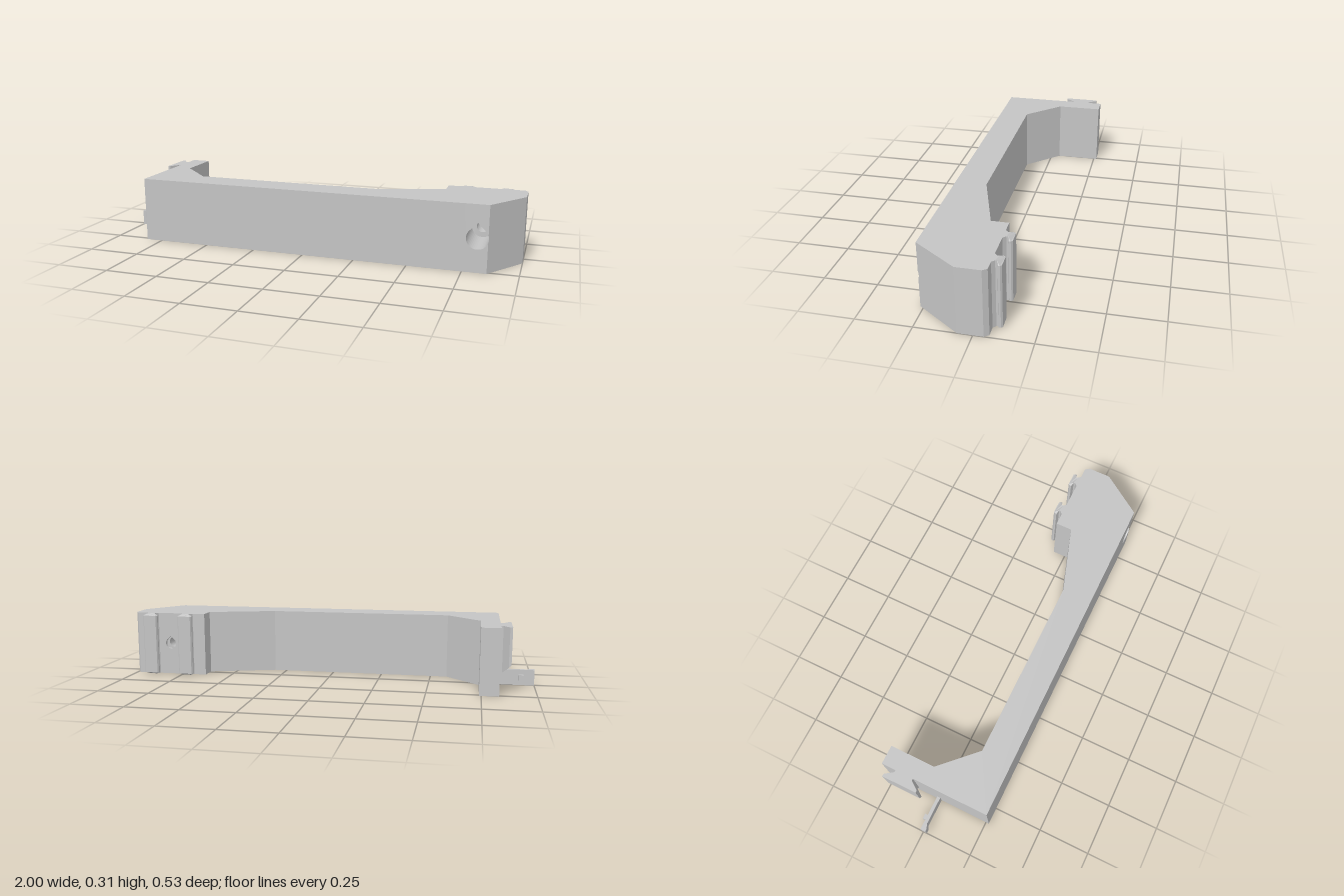
import * as THREE from 'three';

const H = 0.312;                 // body height
const HOLE = [0.813, 0.157];     // bolt hole centre in x, y

const toShape = (pts) => new THREE.Shape(pts.map(([x, y]) => new THREE.Vector2(x, y)));

// Prism from a plan outline of [x, z] points, rising from y0 to y1
function planPrism(pts, y0, y1) {
  const g = new THREE.ExtrudeGeometry(toShape(pts.map(([x, z]) => [x, -z])), { depth: y1 - y0, bevelEnabled: false });
  return g.rotateX(-Math.PI / 2).translate(0, y0, 0);
}

// Prism from a front outline of [x, y] points, running from z0 to z1
function depthPrism(pts, z0, z1, hole) {
  const s = toShape(pts);
  if (hole) s.holes.push(new THREE.Path(hole.map(([x, y]) => new THREE.Vector2(x, y))));
  return new THREE.ExtrudeGeometry(s, { depth: z1 - z0, bevelEnabled: false }).translate(0, 0, z0);
}

// Move every vertex by a rule and refresh the flat normals
function reshape(g, rule) {
  const p = g.attributes.position, v = new THREE.Vector3();
  for (let i = 0; i < p.count; i++) {
    rule(v.fromBufferAttribute(p, i));
    p.setXYZ(i, v.x, v.y, v.z);
  }
  g.computeVertexNormals();
  return g;
}

// Points on a circle round the bolt hole, angles in degrees
function arc(r, from, to, n) {
  return Array.from({ length: n + 1 }, (_, i) => {
    const a = THREE.MathUtils.degToRad(from + (to - from) * i / n);
    return [HOLE[0] + r * Math.cos(a), HOLE[1] + r * Math.sin(a)];
  });
}
const peak = (r) => [HOLE[0], HOLE[1] + r * Math.SQRT2];

export function createModel() {
  const model = new THREE.Group();
  const grey = new THREE.MeshStandardMaterial({ color: 0xc4c4c4 });
  const add = (name, geometry, parent = model) => {
    const m = new THREE.Mesh(geometry, grey);
    m.name = name;
    parent.add(m);
    return m;
  };

  // Main arm with the upright leg at one end
  add('arm', planPrism([
    [-0.83, -0.265], [-0.74, -0.265], [-0.74, -0.045], [-0.58, 0.118], [0.31, 0.118],
    [0.63, 0.015], [0.63, -0.065], [0.75, -0.065], [0.75, 0.265], [-0.83, 0.265],
  ], 0, H));

  // Chamfered outer end
  const chamferZ = (x) => 0.265 - (x - 0.86) * (0.2 / 0.14);
  add('chamferedEnd', planPrism([
    [0.88, -0.065], [0.985, -0.065], [1, -0.045], [1, 0.065], [0.88, chamferZ(0.88)],
  ], 0, H));

  // Drilled section between them: teardrop bolt hole, nut slot open below
  const drilled = new THREE.Group();
  drilled.name = 'drilledSection';
  model.add(drilled);
  const block = [[0.75, 0], [0.88, 0], [0.88, H], [0.75, H]];
  const small = [...arc(0.027, 135, 405, 24), peak(0.027)];
  const boreZ = 0.06;
  add('backPlate', depthPrism(block, -0.065, -0.05, small), drilled);
  add('nutSlot', depthPrism([
    [0.75, 0], [0.773, 0], [0.773, 0.195], [0.853, 0.195], [0.853, 0], [0.88, 0], [0.88, H], [0.75, H],
  ], -0.05, -0.015), drilled);
  add('boltHole', depthPrism(block, -0.015, boreZ, small), drilled);

  // Wide counterbore, whose rim just crosses the chamfer edge
  const r = 0.05, cut = THREE.MathUtils.radToDeg(Math.acos((0.86 - HOLE[0]) / r));
  add('counterbore', depthPrism([
    [0.75, 0], [0.86, 0], ...arc(r, -cut, -225, 24), peak(r), ...arc(r, 45, cut, 4), [0.86, H], [0.75, H],
  ], boreZ, 0.265), drilled);
  add('counterboreRim', reshape(depthPrism([
    [0.86, 0], [0.88, 0], [0.88, H], [0.86, H], ...arc(r, cut, -cut, 6),
  ], boreZ, 0.265), (v) => { v.z = Math.min(v.z, chamferZ(v.x)); }), drilled);

  // Two T-shaped rails on the back, with bevelled caps
  const half = [[0.033, -0.063], [0.018, -0.078], [0.018, -0.086], [0.037, -0.092], [0.037, -0.101], [0.031, -0.108]];
  const section = [...half, ...half.map(([x, z]) => [-x, z]).reverse()];
  for (const x of [0.722, 0.905]) {
    const rail = add('rail', reshape(planPrism(section, 0, H), (v) => {
      if (v.z < -0.09) v.y = THREE.MathUtils.clamp(v.y, 0.01, 0.302);
    }));
    rail.position.x = x;
  }

  // Dovetail on the leg, sloped underneath
  add('dovetail', reshape(planPrism([
    [-0.83, -0.195], [-0.84, -0.195], [-0.868, -0.235], [-0.88, -0.235],
    [-0.88, -0.065], [-0.868, -0.065], [-0.84, -0.105], [-0.83, -0.105],
  ], 0, H), (v) => {
    if (v.y < 0.01) v.y = 0.085 + (-0.83 - v.x) * 1.1;
  }));

  // Thin latch tab with a thickened tip and a small catch
  add('latchTab', planPrism([
    [-0.83, -0.007], [-1, -0.007], [-1, 0.018], [-0.985, 0.018], [-0.965, 0.009], [-0.83, 0.009],
  ], 0, 0.075));
  add('latchCatch', planPrism([
    [-0.95, -0.006], [-0.95, -0.024], [-0.925, -0.024], [-0.925, -0.006],
  ], 0.023, 0.052));

  return model;
}
